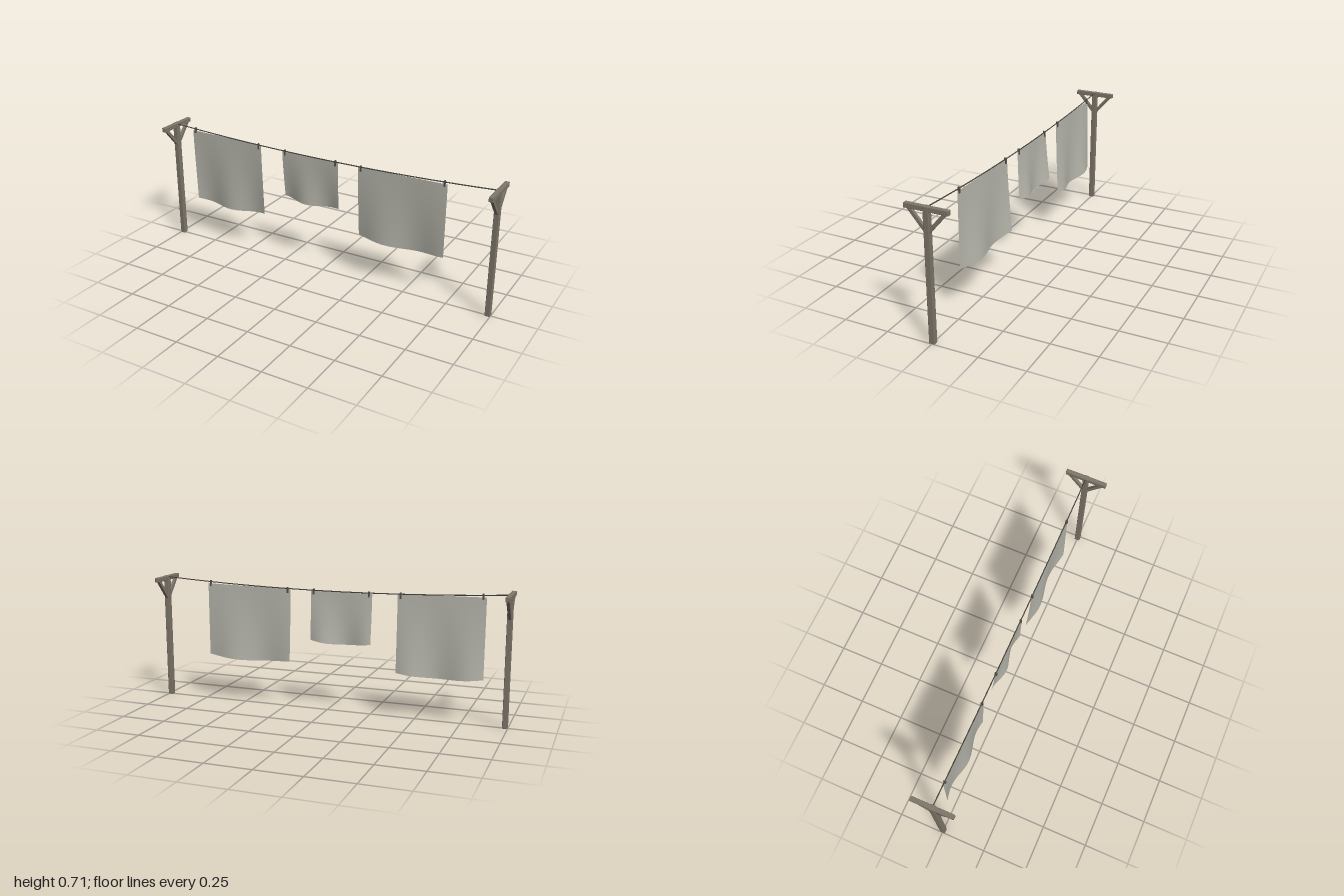
import * as THREE from 'three';
import { RoundedBoxGeometry } from 'three/addons/geometries/RoundedBoxGeometry.js';

const mat = (name, color, side = THREE.FrontSide) => {
  const m = new THREE.MeshStandardMaterial({ color, side });
  m.name = name;
  return m;
};

// Height of the sagging line at x
const lineY = (x) => 0.67 + 0.033 * x * x;

export function createModel() {
  const wood = mat('weathered wood', 0x7f776b);
  const linen = mat('grey linen', 0xb8b8ae, THREE.DoubleSide);
  const cord = mat('dark cord', 0x4a4742);
  const pegWood = mat('dark peg wood', 0x55504a);

  const root = new THREE.Group();
  root.name = 'clothesline';

  const add = (parent, name, geometry, material, x = 0, y = 0, z = 0) => {
    const mesh = new THREE.Mesh(geometry, material);
    mesh.name = name;
    mesh.position.set(x, y, z);
    parent.add(mesh);
    return mesh;
  };
  const beam = (w, h, d) => new RoundedBoxGeometry(w, h, d, 1, 0.0025);

  // Two T-shaped posts with diagonal braces
  for (const side of [-1, 1]) {
    const post = new THREE.Group();
    post.name = side > 0 ? 'leftPost' : 'rightPost';
    post.position.x = side * 0.986;
    root.add(post);
    add(post, 'upright', beam(0.028, 0.708, 0.03), wood, 0, 0.354, 0);
    add(post, 'crossbar', beam(0.024, 0.025, 0.234), wood, 0, 0.695, 0);
    for (const s of [-1, 1]) {
      // Parallelogram brace in the z-y plane, ends cut flush
      const outline = new THREE.Shape([
        new THREE.Vector2(0.01, 0.573), new THREE.Vector2(0.108, 0.688),
        new THREE.Vector2(0.085, 0.688), new THREE.Vector2(0.01, 0.6),
      ]);
      const geo = new THREE.ExtrudeGeometry(outline, { depth: 0.016, bevelEnabled: false });
      geo.translate(0, 0, -0.008);
      geo.rotateY(-s * Math.PI / 2);
      add(post, 'brace', geo, wood);
    }
  }

  // Sagging line
  const points = [];
  for (let i = 0; i <= 12; i++) {
    const x = -0.986 + (1.972 * i) / 12;
    points.push(new THREE.Vector3(x, lineY(x), 0));
  }
  add(root, 'line', new THREE.TubeGeometry(new THREE.CatmullRomCurve3(points), 36, 0.003, 6), cord);

  // Hanging cloths: fold waves grow towards the bowed lower hem
  const cloths = [
    { name: 'rightSheet', x0: -0.865, x1: -0.395, top: [0.683, 0.677], hem: 0.25, crest: -0.78, period: 0.32 },
    { name: 'middleTowel', x0: -0.255, x1: 0.095, top: [0.668, 0.668], hem: 0.395, crest: -0.24, period: 0.26 },
    { name: 'leftSheet', x0: 0.215, x1: 0.72, top: [0.67, 0.676], hem: 0.264, crest: 0.555, period: 0.375 },
  ];
  for (const c of cloths) {
    const geo = new THREE.PlaneGeometry(1, 1, 28, 14);
    const pos = geo.attributes.position;
    for (let i = 0; i < pos.count; i++) {
      const u = pos.getX(i) + 0.5;
      const t = 0.5 - pos.getY(i);
      const x = THREE.MathUtils.lerp(c.x0, c.x1, u);
      const top = THREE.MathUtils.lerp(c.top[0], c.top[1], u);
      const hem = c.hem - 0.016 * Math.sin(Math.PI * u);
      const wave = 0.0135 + 0.014 * Math.cos(((x - c.crest) / c.period) * Math.PI * 2);
      pos.setXYZ(i, x, THREE.MathUtils.lerp(top, hem, t), -wave * Math.pow(t, 1.3));
    }
    geo.computeVertexNormals();
    add(root, c.name, geo, linen);

    // Pegs near both top corners
    for (const x of [c.x0 + 0.018, c.x1 - 0.016]) {
      add(root, 'peg', new THREE.BoxGeometry(0.008, 0.032, 0.012), pegWood, x, lineY(x) - 0.008, 0);
    }
  }
  return root;
}
